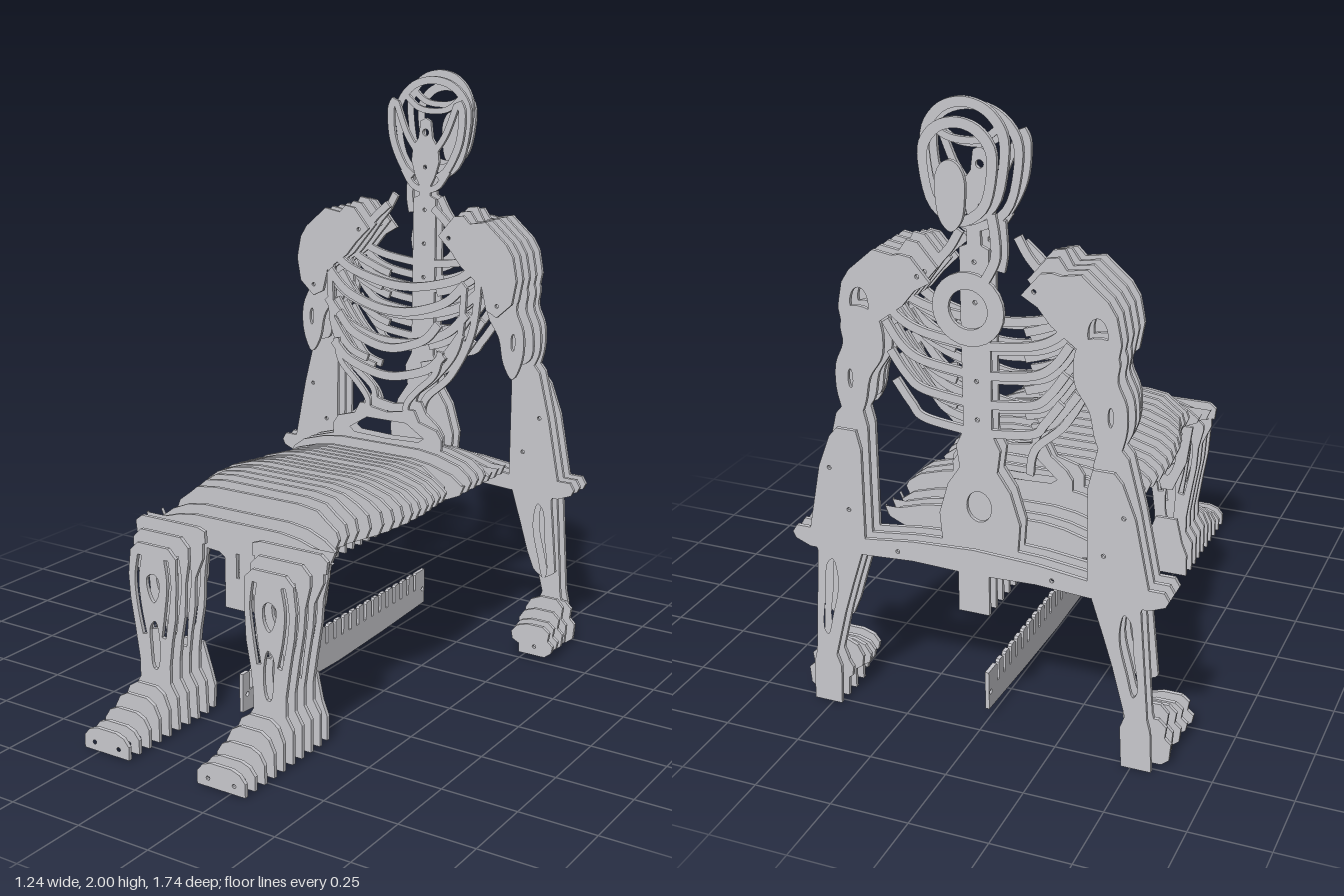
import * as THREE from 'three';

const T = 0.013;
const Z = i => 0.8625 - 0.0493 * i; // slice number (front to back) to z

export function createModel() {
  const root = new THREE.Group();
  root.name = 'slicedSkeletonBench';
  const grey = new THREE.MeshStandardMaterial({ color: 0xc8c8cd });
  grey.name = 'panelGrey';

  const vec = p => new THREE.Vector2(p[0], p[1]);
  // closed smooth outline through a few points
  const smooth = pts => new THREE.CatmullRomCurve3(pts.map(p => new THREE.Vector3(p[0], p[1], 0)), true)
    .getPoints(pts.length * 4).slice(0, -1).map(p => [p.x, p.y]);
  const oval = (x, y, rx, ry = rx, n = 24) => Array.from({ length: n }, (_, k) => {
    const a = k / n * Math.PI * 2;
    return [x + rx * Math.cos(a), y + ry * Math.sin(a)];
  });
  const bolt = (x, y) => oval(x, y, 0.007, 0.007, 8);
  // full outline from its +x half
  const both = half => half.concat(half.slice().reverse().filter(p => p[0] > 0).map(p => [-p[0], p[1]]));
  // strip of constant width along a smooth line
  const band = (pts, w) => {
    const c = new THREE.SplineCurve(pts.map(vec)), a = [], b = [], n = pts.length * 6;
    for (let k = 0; k <= n; k++) {
      const p = c.getPoint(k / n), t = c.getTangent(k / n);
      a.push([p.x - t.y * w / 2, p.y + t.x * w / 2]);
      b.unshift([p.x + t.y * w / 2, p.y - t.x * w / 2]);
    }
    return a.concat(b);
  };
  const plate = (name, z, pts, holes = []) => {
    const s = new THREE.Shape(pts.map(vec));
    holes.forEach(h => s.holes.push(new THREE.Path(h.map(vec))));
    const g = new THREE.ExtrudeGeometry(s, { depth: T, bevelEnabled: false });
    g.translate(0, 0, z - T / 2);
    const m = new THREE.Mesh(g, grey);
    m.name = name;
    root.add(m);
    return m;
  };
  const flip = pts => pts.map(p => [-p[0], p[1]]);
  const pair = (name, z, pts, holes = []) => {
    plate(name + 'Left', z, pts, holes);
    plate(name + 'Right', z, flip(pts), holes.map(flip));
  };

  // feet: rising slices from toe to ankle
  [0.085, 0.09, 0.115, 0.145, 0.165].forEach((h, i) => pair('foot', Z(i), [
    [0.13, 0.008], [0.305, 0.008], [0.305, h * 0.6], [0.285, h * 0.88], [0.255, h],
    [0.18, h], [0.15, h * 0.88], [0.13, h * 0.6]], [bolt(0.17, 0.035), bolt(0.265, 0.035)]));
  pair('heel', Z(9), [[0.14, 0.01], [0.3, 0.01], [0.3, 0.09], [0.28, 0.14], [0.26, 0.23], [0.18, 0.23], [0.15, 0.14], [0.135, 0.09]]);

  // lower legs: plates pierced by a knee opening, shin leaf and side slits
  const footEnd = [[0.16, 0.22], [0.16, 0.16], [0.135, 0.12], [0.13, 0.01], [0.305, 0.01], [0.305, 0.12], [0.28, 0.16], [0.28, 0.22]];
  const heart = smooth([[0.2, 0.5], [0.22, 0.515], [0.245, 0.5], [0.24, 0.45], [0.22, 0.42], [0.2, 0.45]]);
  const shin = smooth([[0.215, 0.36], [0.235, 0.34], [0.235, 0.27], [0.225, 0.2], [0.21, 0.2], [0.198, 0.28]]);
  const slit = (w, low) => [band([[0.168, 0.57], [0.158, 0.49], [0.168, 0.4], [0.182, low]], w),
    band([[0.272, 0.57], [0.285, 0.49], [0.277, 0.4], [0.258, low]], w)];
  [[5, 0.61, 0.13, 0.31, 0.016], [6, 0.635, 0.118, 0.335, 0.022], [7, 0.66, 0.1, 0.35, 0.024], [8, 0.62, 0.12, 0.335, 0.022]]
    .forEach(([i, top, a, b, w]) => pair('leg', Z(i), [...footEnd, [0.295, 0.32], [0.312, 0.42], [0.318, 0.5], [b, 0.57], [b, top - 0.03],
      [b - 0.03, top], [a + 0.03, top], [a, top - 0.03], [a, 0.56], [0.13, 0.49], [0.135, 0.38], [0.15, 0.3]],
      [heart, ...(i === 7 ? [] : [shin]), ...slit(w, i === 7 ? 0.25 : 0.31), bolt(0.17, 0.035), bolt(0.265, 0.035)]));
  pair('kneeTop', Z(7), [[0.09, 0.61], [0.36, 0.6], [0.365, 0.64], [0.34, 0.66], [0.12, 0.66], [0.09, 0.65]]);
  pair('kneeBack', Z(9), [[0.15, 0.6], [0.16, 0.46], [0.2, 0.345], [0.24, 0.345], [0.29, 0.46], [0.31, 0.6]],
    [smooth([[0.22, 0.4], [0.25, 0.47], [0.24, 0.54], [0.19, 0.5]])]);

  // seat: slices with a hanging centre tab
  const seat = (i, w, top, low) => plate('seatSlice', Z(i), both([
    [0, top], [0.16, top], [0.23, top - 0.01], [w - 0.05, top - 0.035], [w - 0.01, top - 0.065], [w, 0.655],
    [w - 0.015, 0.62], [w - 0.06, 0.6], [0.2, 0.585], [0.07, 0.575], [0.05, 0.56], [0.05, low], [0, low]]),
    [[[-0.006, 0.5], [0.006, 0.5], [0.006, 0.58], [-0.006, 0.58]]]);
  const width = [0.36, 0.34, 0.31, 0.31, 0.315, 0.33, 0.345, 0.355, 0.36, 0.365, 0.365, 0.365, 0.36, 0.355, 0.35, 0.315,
    0.365, 0.365, 0.365, 0.365, 0.365, 0.365, 0.365];
  const height = [0.68, 0.7, 0.745, 0.755, 0.76, 0.76, 0.76, 0.755, 0.755, 0.75, 0.745, 0.74, 0.74, 0.735, 0.73, 0.725,
    0.72, 0.74, 0.74, 0.74, 0.7, 0.69, 0.69];
  width.forEach((w, k) => seat(k + 8, w, height[k], k ? 0.43 : 0.395));

  // comb rail under the seat, slotted once per slice
  const rail = [[0.465, 0.045], [0.465, 0.175]];
  for (let i = 9; i <= 30; i++) {
    const z = Z(i), r = 0.007;
    rail.push([z + r + 0.006, 0.175], [z + r, 0.168], [z + r, 0.11], [z - r, 0.11], [z - r, 0.168], [z - r - 0.006, 0.175]);
  }
  rail.push([-0.69, 0.175], [-0.69, 0.045], [-0.4, 0.03], [-0.1, 0.02], [0.15, 0.025]);
  const comb = plate('combRail', 0, rail, [oval(0.44, 0.1, 0.008), oval(-0.675, 0.1, 0.008)]);
  comb.geometry.rotateY(-Math.PI / 2);
  // spacer pins
  [0.44, -0.68].forEach(z => {
    const pin = new THREE.Mesh(new THREE.SphereGeometry(1, 16, 10).scale(0.026, 0.009, 0.009), grey);
    pin.position.set(0, 0.51, z);
    pin.name = 'spacerPin';
    root.add(pin);
  });

  // back cross beams
  [31, 32, 33].forEach(i => plate('backBeam', Z(i), both([[0, 0.64], [0.2, 0.63], [0.36, 0.61], [0.55, 0.615], [0.595, 0.615],
    [0.61, 0.59], [0.6, 0.57], [0.55, 0.55], [0.36, 0.555], [0.2, 0.565], [0.05, 0.56], [0.05, 0.43], [0, 0.43]]),
    [-0.5, -0.25, 0.25, 0.5].map(x => bolt(x, 0.588))));

  // forearms: bone-like posts standing on the hands
  const armHole = smooth([[0.475, 0.52], [0.495, 0.5], [0.505, 0.4], [0.518, 0.27], [0.505, 0.25], [0.485, 0.32], [0.46, 0.44]]);
  [31, 32, 33].forEach((i, k) => {
    const top = k === 2 ? 0.965 : 1.02, low = k ? 0.18 : 0.28;
    const end = k ? [[0.56, 0.14], [0.565, 0.005], [0.47, 0.005], [0.465, 0.14]] : [[0.54, 0.27], [0.475, 0.27]];
    pair('forearm', Z(i), [[0.36, top - 0.06], [0.375, top], [0.44, top], [0.465, top - 0.03], [0.505, 0.83], [0.55, 0.6], [0.525, 0.54],
      [0.55, low], ...end, [k ? 0.48 : 0.465, low], [0.44, 0.34], [0.41, 0.44], [0.375, 0.55], [0.36, 0.6]],
      [armHole, bolt(0.47, 0.83), bolt(0.41, 0.7)]);
  });

  // hands: knuckled slices
  [[28, 0.13, 0.46, 0.62, 0.02], [29, 0.13, 0.45, 0.615, 0.02], [30, 0.15, 0.44, 0.61, 0.01], [31, 0.18, 0.44, 0.6, 0.005], [32, 0.16, 0.45, 0.61, 0.005]]
    .forEach(([i, h, a, b, lo]) => pair('hand', Z(i), [[a + 0.03, lo], [b - 0.03, lo], [b - 0.005, lo + 0.02], [b, h * 0.5], [b - 0.02, h * 0.62],
      [b - 0.015, h * 0.85], [b - 0.04, h], [a + 0.06, h], [a + 0.02, h * 0.9], [a, h * 0.7], [a + 0.005, h * 0.5], [a + 0.03, h * 0.4]],
      [bolt(a + 0.09, h * 0.4)]));

  // upper arms
  [[29, 0.98, 0.015], [30, 1.02, 0.005], [31, 0.98, 0], [32, 0.95, 0.005]].forEach(([i, low, d]) => pair('upperArm', Z(i), smooth([
    [0.31 + d, 1.32], [0.4, 1.34], [0.44 - d, 1.28], [0.435 - d, 1.22], [0.462 - d, 1.15], [0.46 - d, 1.05], [0.41, low], [0.36 + d, 1.03],
    [0.34 + d, 1.12], [0.295 + d, 1.2]]), [bolt(0.335 + d, 1.235), oval(0.41, 1.11, 0.008, 0.03)]));

  // shoulder blades
  [[28, 0], [29, 0.01], [30, 0.02], [31, 0.01], [32, -0.02]].forEach(([i, d]) => pair('shoulder', Z(i), [
    [0.14, 1.46 + d], [0.2, 1.53 + d], [0.235, 1.535 + d], [0.26, 1.51], [0.32, 1.52], [0.4, 1.45], [0.425, 1.41], [0.435, 1.36], [0.44, 1.33], [0.425, 1.25], [0.37, 1.2], [0.33, 1.22],
    [0.31, 1.3], [0.27, 1.33], [0.23, 1.36], [0.19, 1.41]],
    [bolt(0.18, 1.455), ...(i > 30 ? [oval(0.37, 1.35, 0.03, 0.05)] : [bolt(0.37, 1.24)])]));

  // rib cage front: U-shaped ribs [slice, end x, end y, centre y]
  [[26, 0.2, 1.175, 1.07], [26, 0.22, 1.07, 0.97], [27, 0.27, 1.31, 1.19], [27, 0.28, 1.21, 1.08],
    [28, 0.3, 1.38, 1.27], [28, 0.3, 1.28, 1.17]].forEach(([i, x, y, c]) =>
    plate('frontRib', Z(i), band([[-x, y], [-x * 0.75, y - (y - c) * 0.55], [-x * 0.35, c + 0.012], [0, c],
      [x * 0.35, c + 0.012], [x * 0.75, y - (y - c) * 0.55], [x, y]], 0.03)));
  // rib cage sides: short ribs joining front to spine
  const sideRibs = { 27: [1.1], 28: [1.16, 1.06], 29: [1.34, 1.25, 1.14, 1.06], 30: [1.38, 1.3, 1.2, 1.12], 31: [1.42, 1.33, 1.24, 1.15], 32: [1.36, 1.27, 1.18, 1.09] };
  for (const [i, ys] of Object.entries(sideRibs)) ys.forEach(y => {
    const inner = i > 30 ? 0.03 : 0.11;
    pair('sideRib', Z(i), band([[0.3 - (1.35 - y) * 0.15, y + 0.04], [0.25 - (1.35 - y) * 0.15, y - 0.03], [0.17, y - 0.07], [inner, y - 0.09]], 0.026));
  });
  // rib margins and lower ribs
  pair('ribMargin', Z(26), band([[0.21, 1.08], [0.19, 1.0], [0.12, 0.93], [0.08, 0.88], [0.08, 0.84]], 0.022));
  pair('ribMargin', Z(27), band([[0.27, 1.3], [0.25, 1.1], [0.17, 0.98], [0.09, 0.91], [0.08, 0.86]], 0.022));
  pair('ribMargin', Z(28), band([[0.3, 1.38], [0.28, 1.15], [0.2, 0.98], [0.1, 0.88], [0.08, 0.79]], 0.025));

  // collar bones
  [29, 30].forEach((i, k) => pair('collarBone', Z(i), band([[0.09, 1.545 + k * 0.03], [0.13, 1.51], [0.19, 1.46], [0.3, 1.44]], 0.026)));

  // pelvis rings on the seat
  [[26, 0.86, 0.22], [27, 0.88, 0.2]].forEach(([i, top, w]) => plate('pelvis', Z(i), both([
    [0, top - 0.02], [0.06, top - 0.01], [0.08, top], [0.11, top], [0.13, top - 0.04], [w - 0.02, 0.8], [w, 0.77], [w, 0.72], [0, 0.72]]),
    [both([[0, top - 0.05], [0.08, top - 0.05], [0.15, 0.765], [0.13, 0.75], [0, 0.745]])]));

  // spine
  [31, 32].forEach((i, k) => plate('spine', Z(i), both([[0, 1.62], [0.02, 1.62], [0.022, 1.57], [0.045, 1.56], [0.045, 1.0],
    [0.07, 0.95], [0.06, 0.88], [0.1, 0.82], [0.13, 0.72], [0.12, 0.6], [0, 0.6]]),
    [1.52, 1.4, 1.28, 1.16, 1.04].map(y => bolt(0, y)).concat(k ? [oval(0, 0.76, 0.04, 0.05)] : [])));
  // ring and neck behind the spine
  plate('backRing', Z(33), oval(0, 1.395, 0.11), [oval(0, 1.395, 0.06)]);
  plate('neckStrip', Z(33), band([[-0.05, 1.48], [-0.085, 1.55], [-0.085, 1.62], [-0.075, 1.68]], 0.028));
  plate('neckStrip', Z(32), band([[-0.08, 1.5], [-0.09, 1.56], [-0.085, 1.65]], 0.026));

  // head: face, skull rings and rear cap
  plate('facePlate', Z(31), both([[0, 1.84], [0.02, 1.83], [0.028, 1.77], [0.05, 1.74], [0.055, 1.69], [0.04, 1.64], [0.02, 1.6], [0, 1.6]]),
    [oval(0, 1.79, 0.012), bolt(0, 1.67)]);
  pair('cheek', Z(31), band([[0.125, 1.9], [0.142, 1.86], [0.132, 1.76], [0.09, 1.67], [0.05, 1.635]], 0.026));
  pair('browStrip', Z(31), band([[0.12, 1.89], [0.08, 1.79], [0.04, 1.73]], 0.022));
  plate('jaw', Z(31), band([[-0.09, 1.66], [-0.05, 1.605], [0, 1.59], [0.05, 1.605], [0.09, 1.66]], 0.022));
  const skull = (i, w, lo, top, t) => {
    const h = top - lo, ring = s => smooth(both([[0, 1], [0.55, 0.94], [0.93, 0.76], [0.95, 0.5], [0.68, 0.15], [0, 0]])
      .map(([x, y]) => [x * (w - s), lo + s + y * (h - 2 * s)]));
    plate('skullRing', Z(i), ring(0), t ? [ring(t)] : []);
  };
  skull(32, 0.155, 1.61, 1.98, 0.026);
  skull(33, 0.135, 1.64, 2.0, 0.028);
  skull(34, 0.12, 1.65, 1.955, 0.03);
  skull(35, 0.046, 1.65, 1.85, 0);
  [[32, 1.91], [33, 1.93]].forEach(([i, y]) => plate('crownStrip', Z(i), band([[-0.11, y], [-0.06, y - 0.04], [0, y - 0.05], [0.06, y - 0.04], [0.11, y]], 0.02)));

  return root;
}
